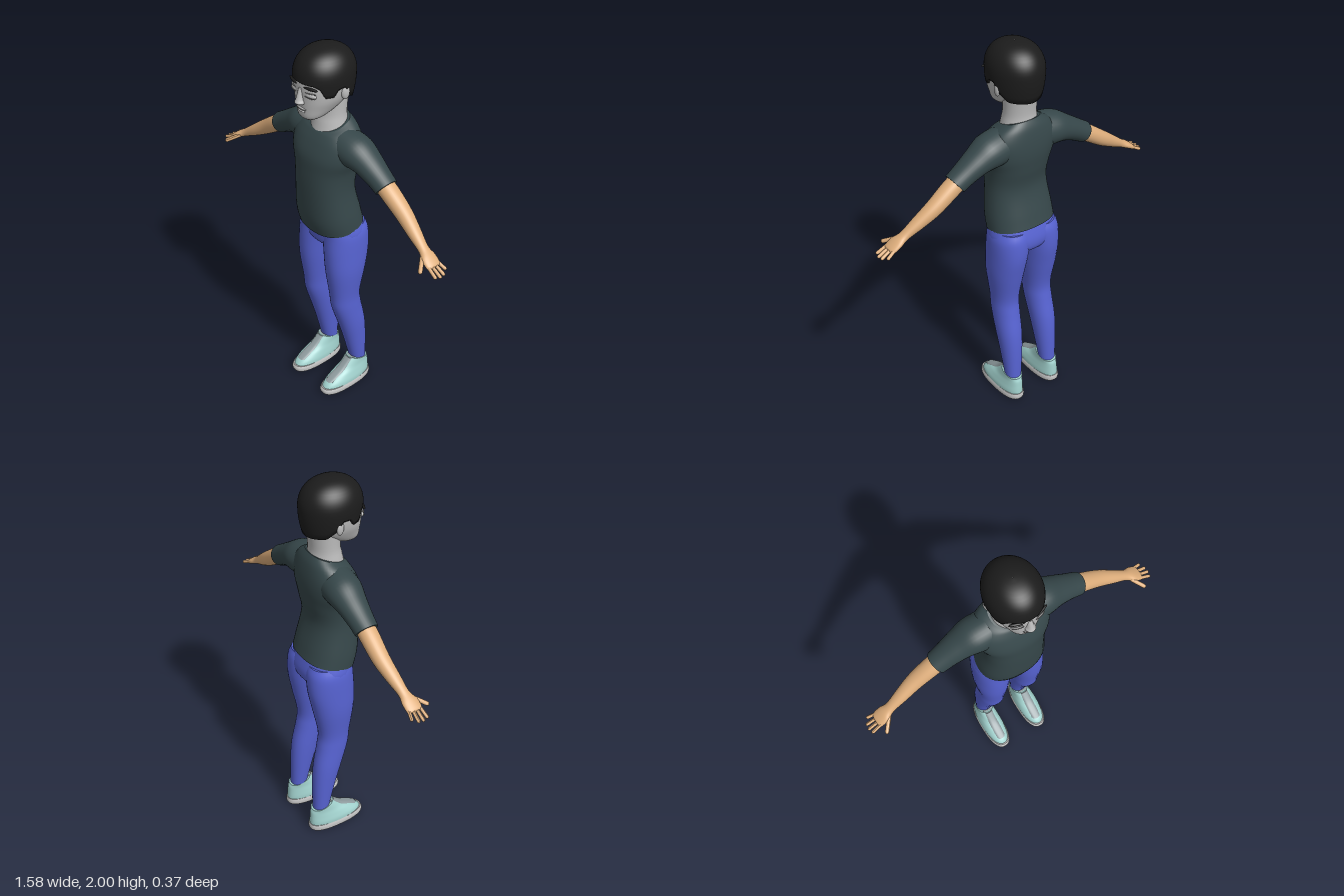
import * as THREE from 'three';

const mat = (name, color) => Object.assign(new THREE.MeshStandardMaterial({ color }), { name });
const M = {
  shirt: mat('dark slate shirt', 0x36474a),
  trousers: mat('blue trousers', 0x5763d2),
  skin: mat('tan skin', 0xdeae7c),
  face: mat('grey face', 0xbcbcbc),
  line: mat('face line grey', 0x6c6c6c),
  hair: mat('black hair', 0x1c1c1c),
  shoe: mat('pale teal shoe', 0xa3d3cf),
  tongue: mat('grey shoe tongue', 0x8f9c9f),
  sole: mat('light sole', 0xc2c2c2),
};

// Closed rings joined into a smooth skin, with optional flat end caps
function skin(rows, cols, point, caps = true) {
  const pos = [], idx = [];
  for (let i = 0; i < rows; i++) for (let j = 0; j < cols; j++) pos.push(...point(i, j));
  for (let i = 0; i < rows - 1; i++) for (let j = 0; j < cols; j++) {
    const k = (j + 1) % cols, a = i * cols, b = a + cols;
    idx.push(a + j, b + j, a + k, b + j, b + k, a + k);
  }
  if (caps) for (const i of [0, rows - 1]) {
    const start = pos.length / 3, mid = [0, 0, 0];
    for (let j = 0; j < cols; j++) {
      const p = point(i, j);
      pos.push(...p);
      p.forEach((v, n) => { mid[n] += v / cols; });
    }
    pos.push(...mid);
    for (let j = 0; j < cols; j++) {
      const a = start + j, b = start + (j + 1) % cols;
      idx.push(start + cols, ...(i ? [b, a] : [a, b]));
    }
  }
  const g = new THREE.BufferGeometry();
  g.setAttribute('position', new THREE.Float32BufferAttribute(pos, 3));
  g.setIndex(idx);
  g.computeVertexNormals();
  return g;
}

// Sections: [x, y, z, side radius, depth radius, turn about z, slope along z]
function loft(sections, power = 2, cols = 32, steps = 5) {
  const n = sections.length - 1;
  const at = (i) => Array.from({ length: 7 }, (_, c) => {
    const k = Math.min(Math.floor(i / steps), n - 1), t = i / steps - k;
    const v = (m) => sections[Math.max(0, Math.min(n, m))][c] ?? 0;
    const [p, q, r, s] = [v(k - 1), v(k), v(k + 1), v(k + 2)];
    return q + 0.5 * t * (r - p + t * (2 * p - 5 * q + 4 * r - s + t * (3 * (q - r) + s - p)));
  });
  const bend = (v) => Math.sign(v) * Math.abs(v) ** (2 / power);
  return skin(n * steps + 1, cols, (i, j) => {
    const [x, y, z, a, b, turn, slope] = at(i), th = (j / cols) * Math.PI * 2;
    const u = a * bend(Math.cos(th)), w = b * bend(Math.sin(th));
    return [x + u * Math.cos(turn), y + u * Math.sin(turn) + slope * w, z + w];
  });
}

// Rounded rod between two points
function rod(a, b, r) {
  const A = new THREE.Vector3(...a), B = new THREE.Vector3(...b), d = B.clone().sub(A);
  const g = new THREE.CapsuleGeometry(r, d.length(), 4, 10);
  g.applyQuaternion(new THREE.Quaternion().setFromUnitVectors(new THREE.Vector3(0, 1, 0), d.normalize()));
  const c = A.add(B).multiplyScalar(0.5);
  return g.translate(c.x, c.y, c.z);
}

function blob(x, y, z, rx, ry, rz, yaw = 0) {
  return new THREE.SphereGeometry(1, 20, 14).scale(rx, ry, rz).rotateY(yaw).translate(x, y, z);
}

function mirrored(geometry) {
  const g = geometry.clone().scale(-1, 1, 1), ix = g.index.array;
  for (let i = 0; i < ix.length; i += 3) [ix[i], ix[i + 1]] = [ix[i + 1], ix[i]];
  g.computeVertexNormals();
  return g;
}

// Hair cap whose lower edge follows fringe, sideburn, ear and nape
function hairGeometry() {
  const edge = [[0, 1.868], [35, 1.862], [47, 1.845], [55, 1.8], [72, 1.8], [80, 1.835],
    [95, 1.835], [105, 1.79], [125, 1.75], [180, 1.74]];
  const cols = 96, dome = 12, side = 5, mid = 1.87;
  return skin(side + dome + 1, cols, (i, j) => {
    const th = (j / cols) * Math.PI * 2;
    const deg = THREE.MathUtils.radToDeg(Math.acos(THREE.MathUtils.clamp(Math.sin(th), -1, 1)));
    const k = Math.max(1, edge.findIndex((e) => e[0] >= deg - 1e-6));
    const [p, q] = [edge[k - 1], edge[k]];
    const low = THREE.MathUtils.mapLinear(deg, p[0], q[0], p[1], q[1]);
    let y, r;
    if (i <= side) {
      y = low + (mid - low) * Math.max(0, i - 1) / (side - 1);
      r = (1 - 0.12 * ((mid - y) / 0.13) ** 2) * (i ? 1 : 0.78);
    } else {
      const f = ((i - side) / dome) * Math.PI / 2;
      y = mid + 0.13 * Math.sin(f) ** 0.95;
      r = Math.max(0.001, Math.cos(f)) ** 0.85;
    }
    return [0.132 * r * Math.cos(th), y, 0.01 + 0.155 * r * Math.sin(th)];
  }, false);
}

export function createModel() {
  const model = new THREE.Group();
  model.name = 'standingPerson';
  const add = (name, geometry, material) => {
    const mesh = new THREE.Mesh(geometry, material);
    mesh.name = name;
    model.add(mesh);
  };
  const pair = (name, geometry, material) => {
    add(name + 'Left', geometry, material);
    add(name + 'Right', mirrored(geometry), material);
  };

  // Shirt
  add('shirtBody', loft([
    [0, 1.045, -0.03, 0.173, 0.13, 0, -0.2], [0, 1.12, -0.012, 0.17, 0.133, 0, -0.08],
    [0, 1.27, 0.008, 0.155, 0.121], [0, 1.38, 0, 0.163, 0.128], [0, 1.46, -0.008, 0.188, 0.13],
    [0, 1.53, -0.02, 0.19, 0.116], [0, 1.585, -0.025, 0.15, 0.098, 0, -0.15],
    [0, 1.612, -0.02, 0.1, 0.083, 0, -0.35],
  ], 2.3, 48), M.shirt);
  pair('sleeve', loft([
    [0.1, 1.515, -0.025, 0.09, 0.09, -1.85], [0.18, 1.505, -0.03, 0.084, 0.09, -1.95],
    [0.25, 1.48, -0.034, 0.066, 0.076, -2.08], [0.32, 1.443, -0.035, 0.056, 0.064, -2.15],
    [0.378, 1.408, -0.035, 0.053, 0.058, -2.18],
  ]), M.shirt);

  // Arms and hands
  pair('arm', loft([
    [0.34, 1.43, -0.035, 0.044, 0.046, -2.16], [0.41, 1.387, -0.036, 0.043, 0.046, -2.15],
    [0.5, 1.325, -0.036, 0.039, 0.041, -2.14], [0.58, 1.272, -0.026, 0.031, 0.034, -2.15],
    [0.65, 1.227, -0.016, 0.021, 0.027, -2.15], [0.69, 1.204, -0.01, 0.018, 0.04, -2.14],
    [0.725, 1.182, -0.008, 0.014, 0.04, -2.14], [0.735, 1.176, -0.008, 0.008, 0.034, -2.14],
  ], 2.1), M.skin);
  const tips = [[0.76, -0.047], [0.777, -0.021], [0.78, 0.003], [0.773, 0.027]];
  tips.forEach(([x, z], i) => pair('finger' + (i + 1),
    rod([0.715, 1.188, -0.036 + i * 0.019], [x, 1.188 - (x - 0.715) * 0.5, z], 0.0085), M.skin));
  pair('thumb', rod([0.675, 1.207, 0.015], [0.717, 1.178, 0.066], 0.0105), M.skin);

  // Trousers
  add('trouserSeat', loft([
    [0, 0.905, -0.045, 0.04, 0.07], [0, 0.945, -0.047, 0.14, 0.112],
    [0, 1, -0.047, 0.18, 0.121], [0, 1.07, -0.034, 0.167, 0.118],
  ], 2.3), M.trousers);
  pair('trouserLeg', loft([
    [0.113, 0.135, -0.12, 0.042, 0.042], [0.11, 0.3, -0.098, 0.055, 0.062],
    [0.108, 0.42, -0.075, 0.063, 0.075], [0.104, 0.54, -0.044, 0.066, 0.082],
    [0.102, 0.63, -0.034, 0.068, 0.083], [0.101, 0.78, -0.038, 0.085, 0.108],
    [0.095, 0.9, -0.047, 0.092, 0.121], [0.086, 1, -0.049, 0.097, 0.119],
    [0.08, 1.05, -0.04, 0.088, 0.112],
  ], 2.15), M.trousers);

  // Shoes
  pair('sole', loft([
    [0.117, 0, -0.034, 0.052, 0.142], [0.117, 0.01, -0.031, 0.061, 0.157],
    [0.117, 0.028, -0.03, 0.062, 0.16], [0.117, 0.042, -0.032, 0.058, 0.155],
  ], 2.5, 40), M.sole);
  pair('shoeUpper', loft([
    [0.117, 0.035, -0.032, 0.058, 0.153], [0.117, 0.06, -0.042, 0.058, 0.142],
    [0.116, 0.09, -0.065, 0.052, 0.117], [0.115, 0.12, -0.092, 0.046, 0.087],
    [0.114, 0.152, -0.113, 0.045, 0.059, 0, 0.25],
  ], 2.3, 40), M.shoe);
  pair('shoeTongue', loft([
    [0.116, 0.07, 0.05, 0.026, 0.044], [0.116, 0.09, 0.013, 0.028, 0.044],
    [0.116, 0.12, -0.04, 0.026, 0.042], [0.115, 0.165, -0.086, 0.026, 0.038],
  ], 3), M.tongue);

  // Head and neck
  add('neck', loft([
    [0, 1.57, -0.02, 0.098, 0.088], [0, 1.62, -0.022, 0.088, 0.08],
    [0, 1.67, -0.025, 0.082, 0.074], [0, 1.76, -0.03, 0.085, 0.08],
  ]), M.face);
  add('head', loft([
    [0, 1.665, 0.095, 0.034, 0.034], [0, 1.685, 0.08, 0.063, 0.066],
    [0, 1.73, 0.042, 0.09, 0.109], [0, 1.78, 0.024, 0.11, 0.129],
    [0, 1.85, 0.013, 0.118, 0.141], [0, 1.92, 0.01, 0.105, 0.125], [0, 1.965, 0.01, 0.06, 0.07],
  ], 2.3, 48), M.face);
  add('nose', loft([
    [0, 1.75, 0.15, 0.014, 0.01], [0, 1.762, 0.153, 0.025, 0.028],
    [0, 1.782, 0.149, 0.018, 0.026], [0, 1.835, 0.146, 0.011, 0.012],
  ], 2, 20), M.face);
  pair('ear', blob(0.117, 1.8, -0.012, 0.013, 0.035, 0.021, -0.25), M.face);
  add('upperLip', blob(0, 1.73, 0.147, 0.031, 0.007, 0.009), M.face);
  add('lowerLip', blob(0, 1.716, 0.146, 0.026, 0.008, 0.009), M.face);
  add('mouthLine', blob(0, 1.7235, 0.15, 0.029, 0.0015, 0.006), M.line);

  // Closed eyes and brows
  pair('eyelid', blob(0.056, 1.808, 0.138, 0.029, 0.015, 0.011, 0.3), M.face);
  pair('eyeLine', blob(0.056, 1.803, 0.143, 0.028, 0.0018, 0.009, 0.3), M.line);
  pair('eyelidCrease', blob(0.056, 1.822, 0.141, 0.029, 0.0015, 0.008, 0.3), M.line);
  pair('eyebrow', blob(0.06, 1.846, 0.143, 0.038, 0.007, 0.008, 0.3), M.hair);

  add('hair', hairGeometry(), M.hair);
  return model;
}
